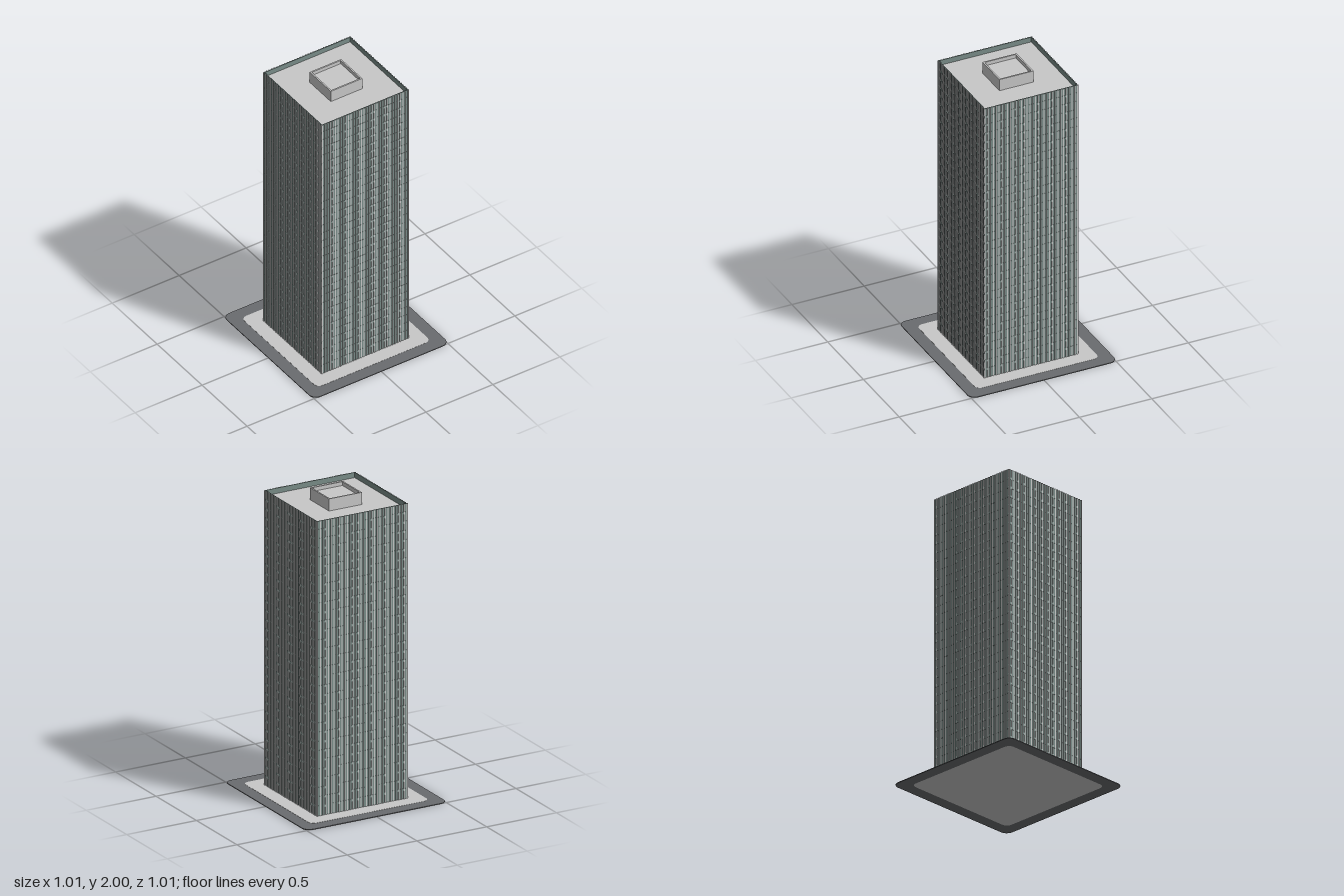
import * as THREE from 'three';
import { mergeGeometries } from 'three/addons/utils/BufferGeometryUtils.js';

const concrete = new THREE.MeshStandardMaterial({ name: 'lightConcrete', color: 0xc8c8c8 });
const asphalt = new THREE.MeshStandardMaterial({ name: 'darkPaving', color: 0x6a6c6f });
const glass = new THREE.MeshStandardMaterial({ name: 'tealGlass', color: 0x7a8d89 });

// Square outline of half width h with corner radius r
function square(h, r, target = new THREE.Shape()) {
  if (!r) {
    target.moveTo(-h, -h).lineTo(h, -h).lineTo(h, h).lineTo(-h, h).closePath();
    return target;
  }
  target.moveTo(-h + r, -h);
  target.absarc(h - r, -h + r, r, -Math.PI / 2, 0);
  target.absarc(h - r, h - r, r, 0, Math.PI / 2);
  target.absarc(-h + r, h - r, r, Math.PI / 2, Math.PI);
  target.absarc(-h + r, -h + r, r, Math.PI, Math.PI * 1.5);
  target.closePath();
  return target;
}

// Square slab or, with an inner half width, a hollow frame from y0 to y1
function slab(outer, y0, y1, r = 0, inner = 0, innerR = 0) {
  const shape = square(outer, r);
  if (inner) shape.holes.push(square(inner, innerR, new THREE.Path()));
  return new THREE.ExtrudeGeometry(shape, { depth: y1 - y0, bevelEnabled: false, curveSegments: 8 })
    .rotateX(-Math.PI / 2)
    .translate(0, y0, 0);
}

export function createModel() {
  const model = new THREE.Group();
  model.name = 'officeTower';
  const add = (name, geometry, material) => {
    const mesh = new THREE.Mesh(geometry, material);
    mesh.name = name;
    model.add(mesh);
  };

  const wall = 0.323, top = 1.955, roofY = 1.92, base = 0.005;

  // Ground: dark border around a light plaza
  add('pavingBorder', slab(0.507, 0, base, 0.05, 0.424, 0.04), asphalt);
  add('plaza', slab(0.424, 0, base + 0.001, 0.04), concrete);

  // Hollow curtain wall rising past the roof as a parapet
  add('curtainWall', slab(wall, base, top, 0, wall - 0.005), glass);
  add('roof', slab(wall - 0.005, roofY - 0.02, roofY), concrete);

  // Plant room with a sunken top
  add('plantRoomWalls', slab(0.118, roofY, 2, 0, 0.108), concrete);
  add('plantRoomRoof', slab(0.108, roofY, 1.975), concrete);

  // Closely spaced vertical fins on all four sides
  const gaps = 33, width = 0.006, depth = 0.004;
  const fins = [];
  for (let side = 0; side < 4; side++) {
    for (let i = 0; i <= gaps; i++) {
      const x = (i / gaps - 0.5) * 2 * (wall - width / 2);
      fins.push(new THREE.BoxGeometry(width, top - base, depth)
        .translate(x, (top + base) / 2, wall + depth / 2)
        .rotateY(side * Math.PI / 2));
    }
  }
  add('facadeFins', mergeGeometries(fins), concrete);

  // Shallow floor bands between the fins
  const floors = 32, bands = [];
  for (let i = 1; i < floors; i++) {
    const y = base + (i / floors) * (top - base);
    bands.push(slab(wall + 0.0015, y - 0.008, y + 0.008, 0, wall - 0.001));
  }
  add('floorBands', mergeGeometries(bands), glass);

  return model;
}
